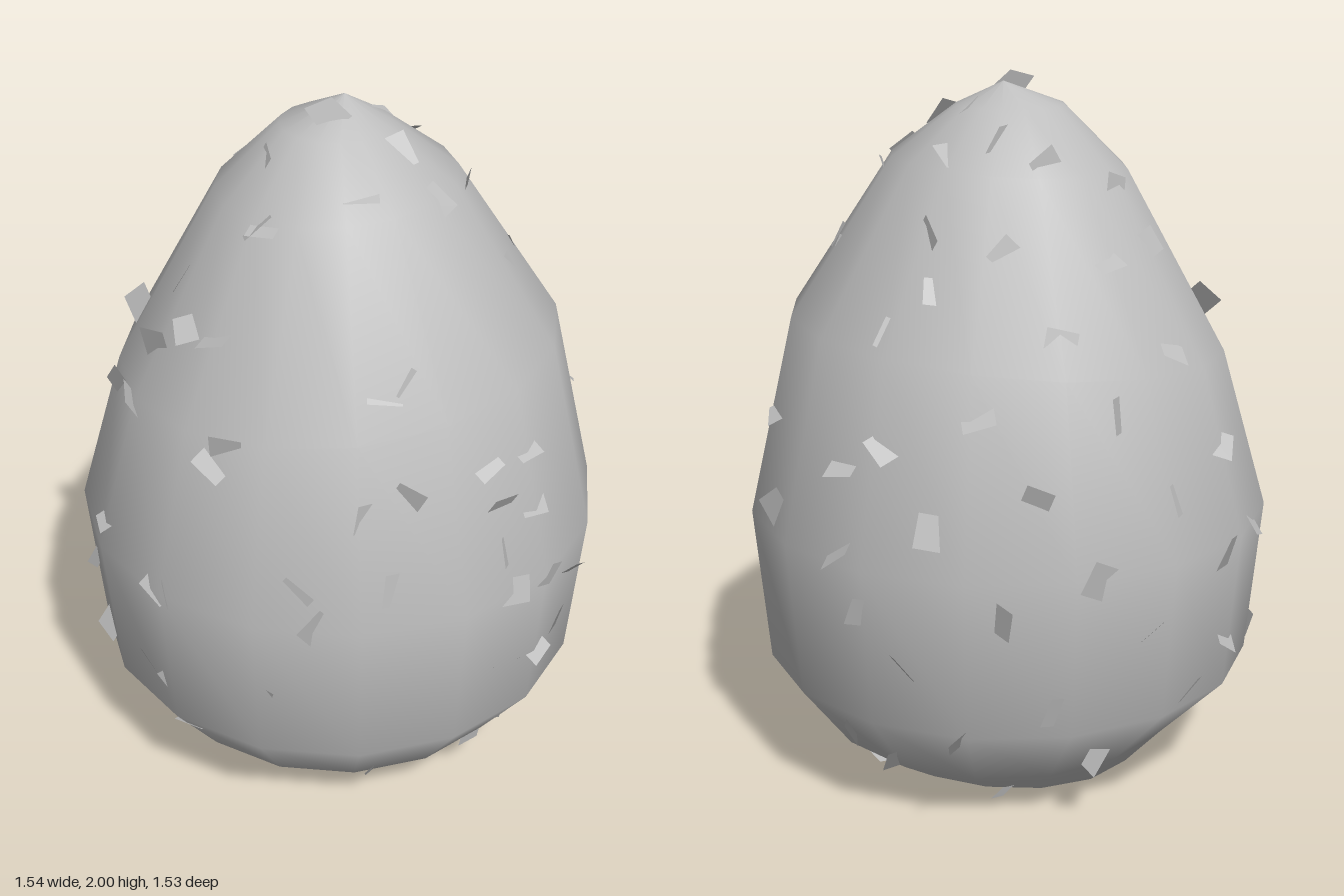
import * as THREE from 'three';
import { mergeGeometries } from 'three/addons/utils/BufferGeometryUtils.js';

// egg outline: radius, height
const PROFILE = [[0.405, 0.028], [0.555, 0.14], [0.705, 0.34], [0.745, 0.79], [0.615, 1.29], [0.33, 1.76], [0.15, 1.915], [0, 1.98]];
// how far each ring of the outline dips towards the front right
const DIP = [0, 0, 0, 0, 0.04, 0.015, 0, 0];

// chips on the front half, as x, y
const FRONT = [
  [-0.45, 1.57], [-0.68, 1.05], [-0.73, 0.8], [-0.74, 0.5], [0.23, 1.88], [0.32, 1.77], [0.48, 1.4], [0.65, 1.17],
  [0.7, 1.02], [0.75, 0.78], [0.74, 0.53], [0.56, 0.15], [-0.1, 1.84], [0.03, 1.75], [-0.22, 1.54], [-0.1, 1.47],
  [-0.22, 1.38], [-0.46, 1.36], [-0.38, 1.2], [-0.25, 1.22], [0.13, 1.23], [-0.28, 0.88], [-0.02, 0.81], [0.36, 0.88],
  [0.43, 0.8], [0.57, 0.9], [-0.47, 0.61], [-0.13, 0.46], [0.27, 0.53], [-0.38, 0.43], [-0.63, 0.41], [-0.32, 0.1],
  [0.44, 0.15], [0.54, 1.13],
];
// chips on the left half (+x), as z, y
const SIDE = [
  [0.33, 1.41], [0.45, 1.1], [0.15, 1.18], [0.13, 1.04], [0.13, 0.92], [0.13, 0.8], [0.12, 0.53], [-0.15, 0.7],
  [-0.13, 0.53], [-0.1, 0.15], [-0.2, 1.53], [-0.35, 1.53], [-0.2, 1.74], [0.15, 1.83], [-0.5, 1.1], [-0.63, 0.86],
  [-0.12, 1.92], [-0.28, 1.82], [-0.45, 1.61], [-0.57, 1.38], [-0.67, 1.05], [-0.73, 0.83], [-0.74, 0.67],
  [-0.62, 0.25], [0.35, 1.74], [0.53, 1.48], [0.63, 1.2], [0.75, 0.8], [0.73, 0.47], [0.66, 0.27],
];

let seed = 7;
const rand = () => {
  seed = (seed * 16807) % 2147483647;
  return seed / 2147483647;
};

// radius and outward slope of the shell at a height
function shellAt(y) {
  let i = 0;
  while (i < PROFILE.length - 2 && PROFILE[i + 1][1] < y) i++;
  const [r0, y0] = PROFILE[i], [r1, y1] = PROFILE[i + 1];
  const t = THREE.MathUtils.clamp((y - y0) / (y1 - y0), 0, 1);
  return { r: r0 + (r1 - r0) * t, slope: Math.atan2(r0 - r1, y1 - y0) };
}

// a small square, tilted so that one edge or corner breaks out of the surface
function chip(position, normal) {
  const g = new THREE.PlaneGeometry(0.075 + rand() * 0.02, 0.085 + rand() * 0.02);
  g.rotateZ((rand() - 0.5) * 0.9);
  g.rotateX(0.25 + rand() * 0.65);
  g.rotateZ(rand() * Math.PI * 2);
  g.applyQuaternion(new THREE.Quaternion().setFromUnitVectors(new THREE.Vector3(0, 0, 1), normal));
  g.translate(position.x, position.y, position.z);
  const p = g.attributes.position;
  for (let i = 0; i < p.count; i++) p.setY(i, THREE.MathUtils.clamp(p.getY(i), 0, 2));
  return g;
}

function shellChip(angle, y) {
  const { r, slope } = shellAt(y);
  const n = new THREE.Vector3(Math.sin(angle) * Math.cos(slope), Math.sin(slope), Math.cos(angle) * Math.cos(slope));
  const p = new THREE.Vector3(Math.sin(angle) * r + 0.01, y, Math.cos(angle) * r);
  return chip(p.addScaledVector(n, -0.012), n);
}

export function createModel() {
  const group = new THREE.Group();
  group.name = 'egg';
  const shellGrey = new THREE.MeshStandardMaterial({ color: 0xbebebe, side: THREE.DoubleSide });
  shellGrey.name = 'shell grey';

  // smooth low-poly shell, open underneath, with slightly uneven rings
  const shellGeo = new THREE.LatheGeometry(PROFILE.map(([x, y]) => new THREE.Vector2(x, y)), 16);
  const pos = shellGeo.attributes.position;
  for (let i = 0; i < pos.count; i++) {
    const ring = i % PROFILE.length;
    const a = (Math.floor(i / PROFILE.length) / 16) * Math.PI * 2;
    const y = pos.getY(i);
    // the ring above the rim is flatter on the right side
    const dent = ring === 1 ? 0.04 * Math.max(0, -Math.sin(a)) ** 2 : 0;
    pos.setX(i, pos.getX(i) + 0.01 * Math.min(1, (1.98 - y) / 0.5) + dent);
    pos.setZ(i, pos.getZ(i) + (y > 1.95 ? -0.03 : 0.008));
    // wavy rim, lowest at the sides
    const wave = ring === 0 ? 0.012 * Math.cos(2 * a) : 0;
    pos.setY(i, y + wave + DIP[ring] * (Math.sin(a) - Math.cos(a)));
  }
  const shell = new THREE.Mesh(shellGeo, shellGrey);
  shell.name = 'shell';

  // chips scattered over the shell
  const ratio = (v, y) => THREE.MathUtils.clamp(v / shellAt(y).r, -1, 1);
  const chips = [
    ...FRONT.map(([x, y]) => shellChip(Math.asin(ratio(x, y)), y)),
    ...SIDE.map(([z, y]) => shellChip(Math.acos(ratio(z, y)), y)),
  ];
  for (let i = 0; i < 24; i++) {
    chips.push(shellChip(Math.PI * (1 + 0.5 * ((i * 0.618) % 1)), 0.12 + 1.75 * ((i + rand()) / 24)));
  }
  // one upright at the tip, a few on the rim
  chips.push(chip(new THREE.Vector3(0.03, 1.965, 0.07), new THREE.Vector3(0.94, 0.34, 0)));
  for (const angle of [-0.32, 0.8, 2.6, 3.7]) chips.push(shellChip(angle, 0.035));
  const flakes = new THREE.Mesh(mergeGeometries(chips), shellGrey);
  flakes.name = 'surfaceChips';

  group.add(shell, flakes);
  return group;
}
